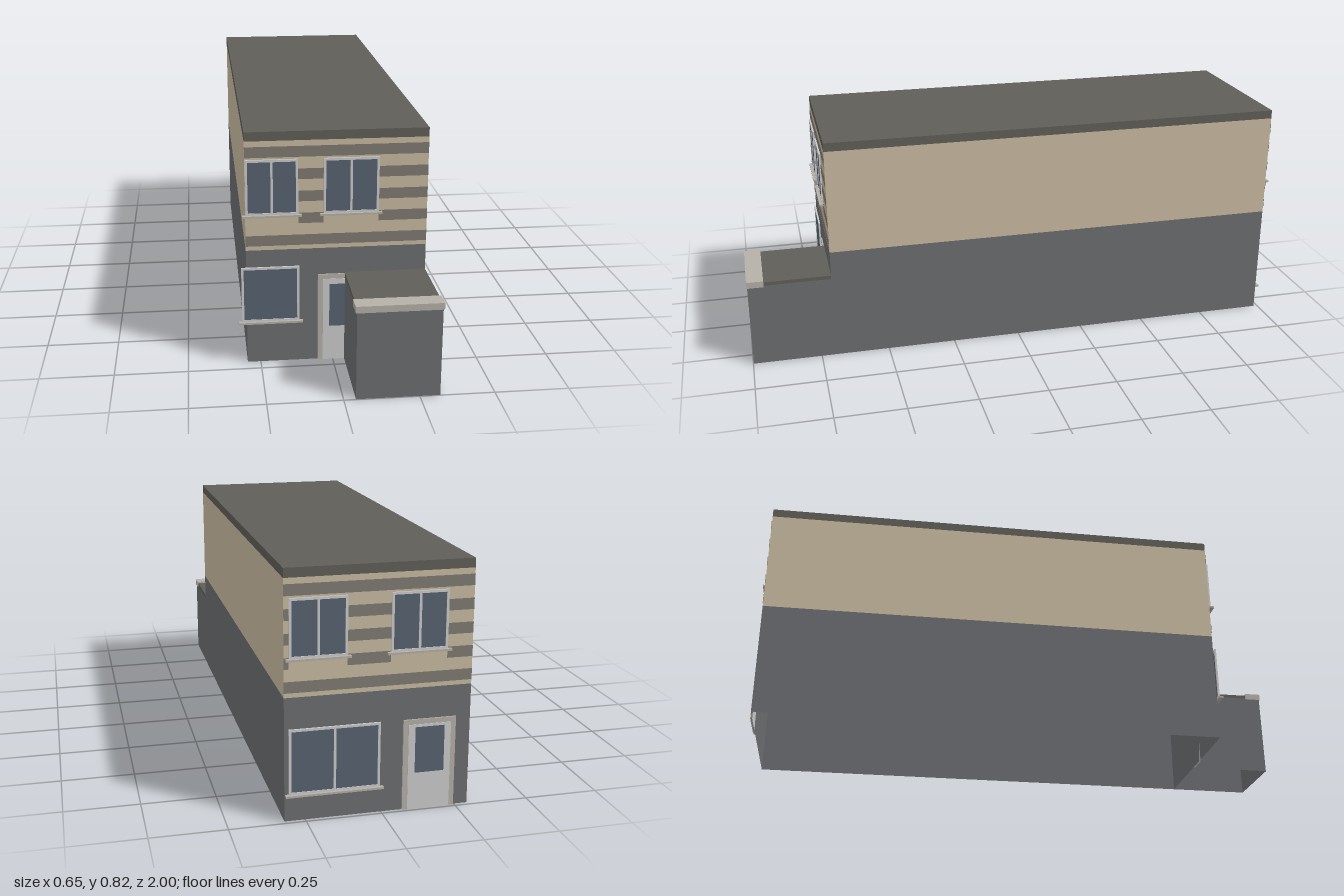
import * as THREE from 'three';

const mat = (color) => new THREE.MeshStandardMaterial({ color, side: THREE.DoubleSide, roughness: 0.9 });
const M = {
  wall: mat(0x6b6d70), tan: mat(0xc8baa0), band: mat(0x7f7a72), stone: mat(0xb5b0a7),
  white: mat(0xc8c8c8), glass: mat(0x566270), roof: mat(0x605e58),
};

const X0 = -0.295, X1 = 0.318, FRONT = 0.70, BACK = -0.985;
const TAN_Y = 0.413, ROOF_Y = 0.793, TOP = 0.824;

function add(parent, name, geometry, material) {
  const mesh = new THREE.Mesh(geometry, material);
  mesh.name = name;
  parent.add(mesh);
  return mesh;
}

// Box given by its limits
function box(parent, name, material, x0, x1, y0, y1, z0, z1) {
  const m = add(parent, name, new THREE.BoxGeometry(x1 - x0, y1 - y0, z1 - z0), material);
  m.position.set((x0 + x1) / 2, (y0 + y1) / 2, (z0 + z1) / 2);
}

// Upright rectangle facing +z
function panel(parent, name, material, x0, x1, y0, y1, z) {
  const m = add(parent, name, new THREE.PlaneGeometry(x1 - x0, y1 - y0), material);
  m.position.set((x0 + x1) / 2, (y0 + y1) / 2, z);
}

// Flat horizontal rectangle facing up
function slab(parent, name, material, x0, x1, z0, z1, y) {
  const m = add(parent, name, new THREE.PlaneGeometry(x1 - x0, z1 - z0).rotateX(-Math.PI / 2), material);
  m.position.set((x0 + x1) / 2, y, (z0 + z1) / 2);
}

// Thin upright walls along a path of [x, z] points, outward for counter-clockwise seen from above
function walls(parent, name, material, path, y0, y1) {
  const pos = [];
  for (let i = 0; i + 1 < path.length; i++) {
    const [ax, az] = path[i], [bx, bz] = path[i + 1];
    pos.push(ax, y0, az, bx, y0, bz, bx, y1, bz, ax, y0, az, bx, y1, bz, ax, y1, az);
  }
  const g = new THREE.BufferGeometry();
  g.setAttribute('position', new THREE.Float32BufferAttribute(pos, 3));
  g.computeVertexNormals();
  add(parent, name, g, material);
}

function rect(Type, x0, x1, y0, y1) {
  const s = new Type();
  s.moveTo(x0, y0);
  s.lineTo(x1, y0);
  s.lineTo(x1, y1);
  s.lineTo(x0, y1);
  s.closePath();
  return s;
}

// Framed window with a number of panes and a projecting sill
function makeWindow(parent, name, x0, x1, y0, y1, panes) {
  const g = new THREE.Group();
  g.name = name;
  const t = 0.008, w = (x1 - x0 - t) / panes;
  const shape = rect(THREE.Shape, x0, x1, y0, y1);
  for (let i = 0; i < panes; i++) {
    const a = x0 + t + i * w;
    shape.holes.push(rect(THREE.Path, a, a + w - t, y0 + t, y1 - t));
  }
  add(g, 'windowFrame', new THREE.ExtrudeGeometry(shape, { depth: 0.006, bevelEnabled: false }), M.white);
  panel(g, 'windowGlass', M.glass, x0 + t / 2, x1 - t / 2, y0 + t / 2, y1 - t / 2, 0.004);
  box(g, 'windowSill', M.stone, x0 - 0.012, x1 + 0.011, y0 - 0.006, y0 + 0.001, 0, 0.015);
  parent.add(g);
}

// Door with surround and glazed leaf, cut off at xMax
function makeDoor(parent, x0, x1, top, xMax) {
  const g = new THREE.Group();
  g.name = 'door';
  const cut = (x) => Math.min(x, xMax);
  const t = 0.017;
  box(g, 'doorSurround', M.stone, x0, cut(x1), 0, top, 0, 0.005);
  box(g, 'doorLeaf', M.white, x0 + t, cut(x1 - t), 0, top - t, 0, 0.007);
  panel(g, 'doorGlass', M.glass, x0 + 0.039, cut(x1 - 0.039), 0.127, 0.283, 0.0085);
  parent.add(g);
}

// Dark stripes; the three middle ones stop at the upper windows
function makeStripes(parent, left, right, openings) {
  for (let i = 0; i < 5; i++) {
    const y0 = 0.428 + i * 0.0772, y1 = y0 + 0.037;
    let start = left;
    if (i > 0 && i < 4) {
      for (const [a, b] of openings) {
        if (a - start > 0.01) panel(parent, 'stripe', M.band, start, a, y0, y1, 0.0015);
        start = b;
      }
    }
    if (right - start > 0.003) panel(parent, 'stripe', M.band, start, right, y0, y1, 0.0015);
  }
}

function facade(name, left, right, upper, ground, door) {
  const g = new THREE.Group();
  g.name = name;
  makeStripes(g, left, right, upper);
  upper.forEach(([a, b]) => makeWindow(g, 'upperWindow', a, b, 0.538, 0.73, 2));
  makeWindow(g, 'groundWindow', ...ground);
  makeDoor(g, ...door);
  return g;
}

export function createModel() {
  const model = new THREE.Group();
  model.name = 'terracedHouse';

  // Main block, open underneath
  const ring = [[X0, FRONT], [X1, FRONT], [X1, BACK], [X0, BACK], [X0, FRONT]];
  walls(model, 'groundFloorWalls', M.wall, ring, 0, TAN_Y);
  walls(model, 'upperFloorWalls', M.tan, ring, TAN_Y, ROOF_Y);
  walls(model, 'roofEdge', M.roof, ring, ROOF_Y, TOP);
  slab(model, 'roof', M.roof, X0, X1, BACK, FRONT, TOP);

  // Low front extension with a pale coping
  const ext = new THREE.Group();
  ext.name = 'frontExtension';
  const E0 = 0.04, EZ = 0.998;
  const path = [[E0, FRONT], [E0, EZ], [X1, EZ], [X1, FRONT]];
  walls(ext, 'extensionWalls', M.wall, path, 0, 0.309);
  walls(ext, 'extensionRoofEdge', M.roof, path, 0.309, 0.322);
  slab(ext, 'extensionRoof', M.roof, E0, X1, FRONT, EZ, 0.322);
  box(ext, 'extensionCoping', M.stone, 0.035, 0.322, 0.305, 0.328, 0.94, 1.0);
  model.add(ext);

  // Front facade
  const front = facade('frontFacade', X0, X1, [[-0.294, -0.118], [-0.033, 0.153]],
    [-0.312, -0.115, 0.153, 0.352, 1], [-0.052, 0.122, 0.318, E0]);
  front.position.z = FRONT;
  model.add(front);

  // Back facade, turned to face backwards
  const back = facade('backFacade', -X1, -X0, [[-0.302, -0.116], [0.024, 0.21]],
    [-0.304, -0.006, 0.09, 0.309, 2], [0.07, 0.246, 0.308, 1]);
  back.rotation.y = Math.PI;
  back.position.z = BACK;
  model.add(back);

  return model;
}
